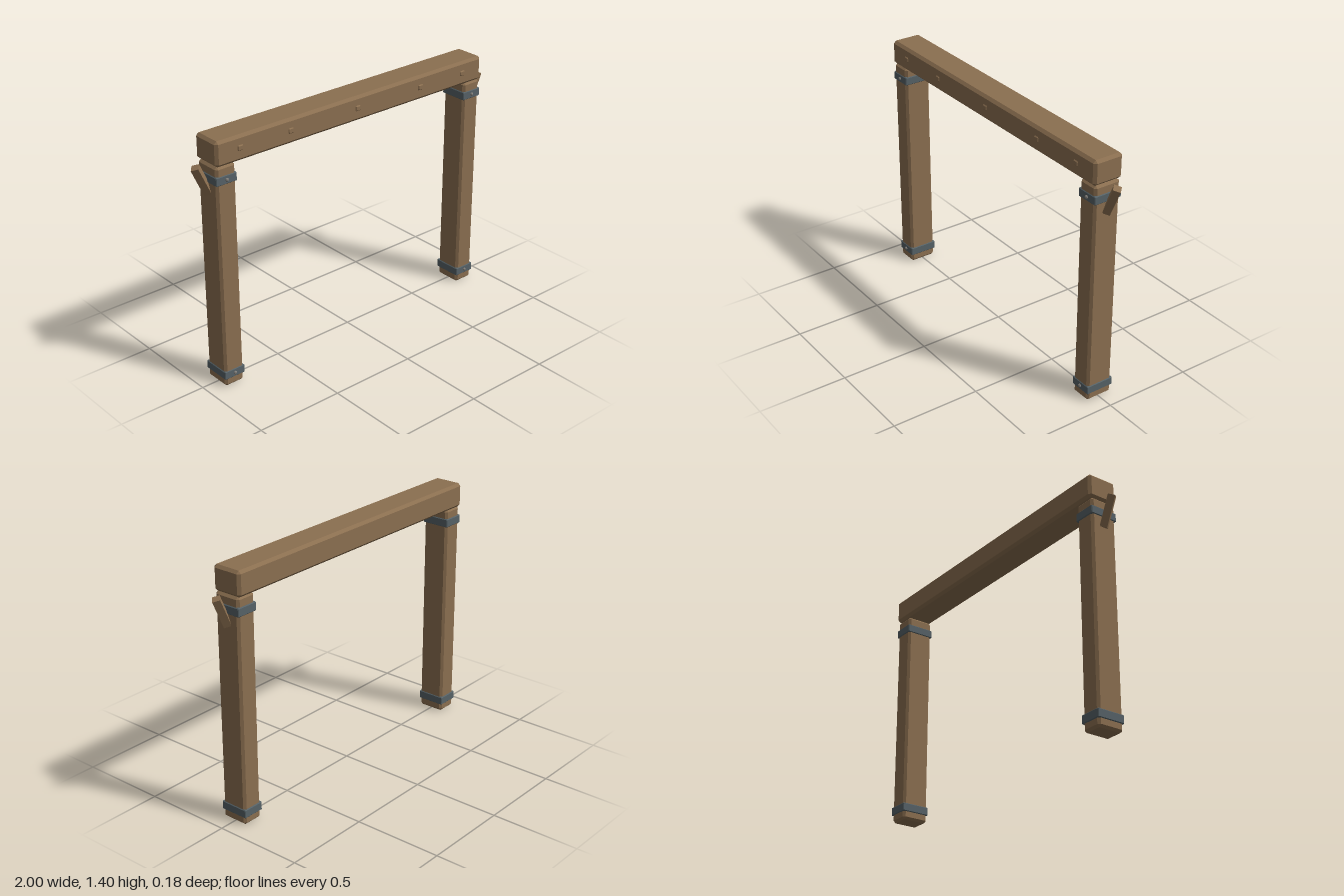
import * as THREE from 'three';
import { ConvexGeometry } from 'three/addons/geometries/ConvexGeometry.js';

const wood = new THREE.MeshStandardMaterial({ color: 0x8b6f50, flatShading: true });
const steel = new THREE.MeshStandardMaterial({ color: 0x566267, flatShading: true });
const boltSteel = new THREE.MeshStandardMaterial({ color: 0x7c7a76, flatShading: true });

// Box with every edge and corner cut by a flat chamfer c
function chamferBox(w, h, d, c) {
  const pts = [];
  for (const x of [-w / 2, w / 2])
    for (const y of [-h / 2, h / 2])
      for (const z of [-d / 2, d / 2]) {
        const sx = Math.sign(x) * c, sy = Math.sign(y) * c, sz = Math.sign(z) * c;
        pts.push(
          new THREE.Vector3(x, y - sy, z - sz),
          new THREE.Vector3(x - sx, y, z - sz),
          new THREE.Vector3(x - sx, y - sy, z)
        );
      }
  return new ConvexGeometry(pts);
}

function add(parent, name, geometry, material, x, y, z) {
  const mesh = new THREE.Mesh(geometry, material);
  mesh.name = name;
  mesh.position.set(x, y, z);
  parent.add(mesh);
  return mesh;
}

export function createModel() {
  const model = new THREE.Group();
  model.name = 'timberGate';
  const zMid = -0.002;

  // Lintel beam with a row of square pegs on its front
  add(model, 'beam', chamferBox(1.812, 0.138, 0.175, 0.015), wood, 0, 1.332, -0.0025);
  const pegGeo = chamferBox(0.034, 0.03, 0.02, 0.005);
  for (const x of [-0.76, -0.445, 0, 0.445, 0.76])
    add(model, 'beamPeg', pegGeo, wood, x, 1.335, 0.08);

  const postGeo = chamferBox(0.118, 1.264, 0.155, 0.013);
  const bandGeo = chamferBox(0.126, 0.048, 0.164, 0.004);
  const boltGeo = chamferBox(0.018, 0.018, 0.018, 0.005);
  const strutGeo = new THREE.CylinderGeometry(0.028, 0.028, 0.173, 4);

  for (const s of [1, -1]) {
    const side = new THREE.Group();
    side.name = s > 0 ? 'leftPost' : 'rightPost';
    add(side, 'post', postGeo, wood, s * 0.846, 0.632, zMid + 0.002);

    // Metal bands, each with a bolt on the front
    for (const y of [0.069, 1.188]) {
      add(side, 'band', bandGeo, steel, s * 0.846, y, zMid + 0.001);
      add(side, 'bolt', boltGeo, boltSteel, s * 0.846, y, 0.081);
    }

    // Slanted square peg on the outer face, set edge-on
    const strut = add(side, 'slantedPeg', strutGeo, wood, s * 0.938, 1.184, 0);
    strut.rotation.z = -s * 0.43;
    model.add(side);
  }
  return model;
}
